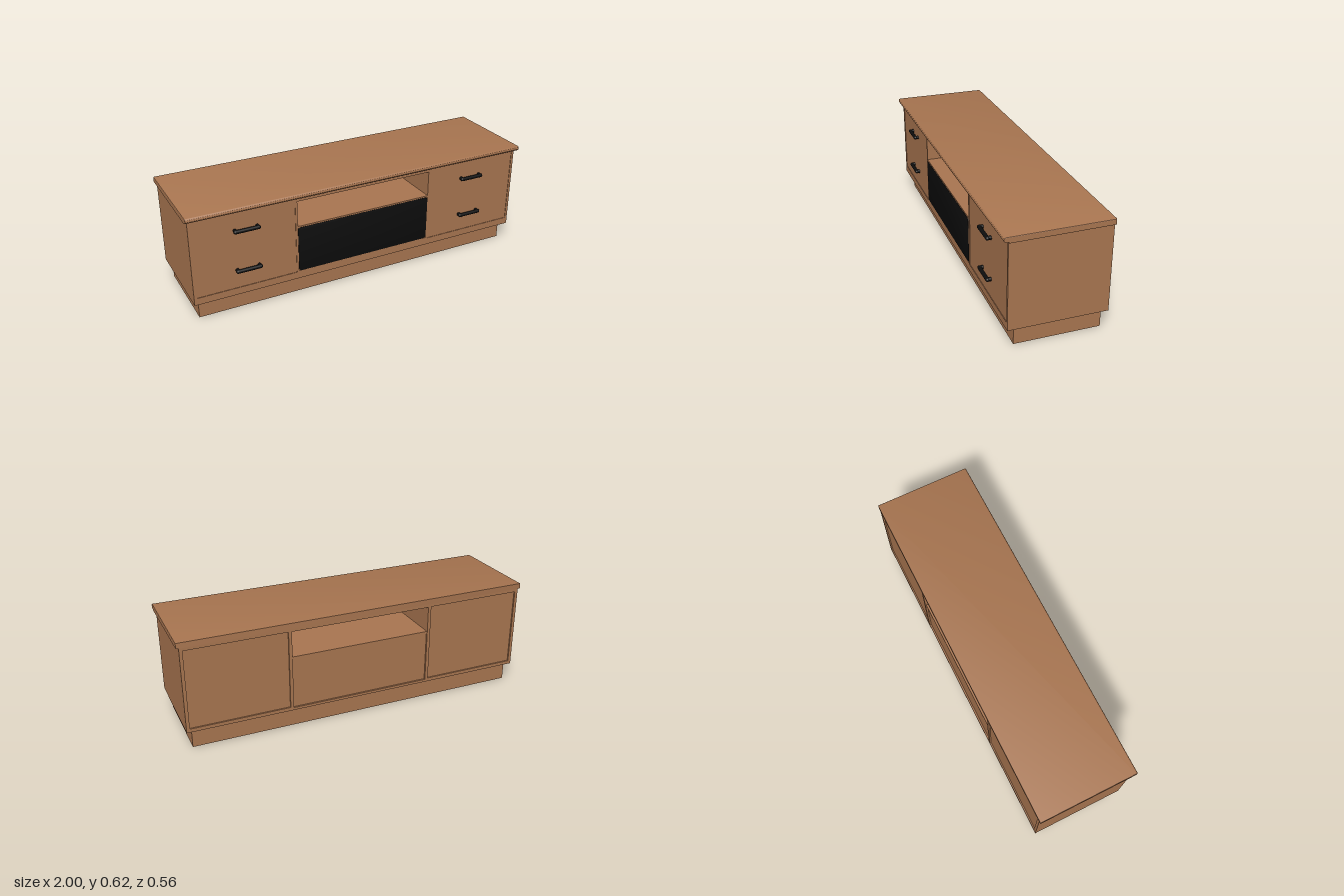
import * as THREE from 'three';
import { toCreasedNormals } from 'three/addons/utils/BufferGeometryUtils.js';

export function createModel() {
  const root = new THREE.Group();
  root.name = 'mediaConsole';
  const wood = new THREE.MeshStandardMaterial({ color: 0xa87550 });
  wood.name = 'warm wood';
  const black = new THREE.MeshStandardMaterial({ color: 0x0d0d0d });
  black.name = 'black';

  const add = (name, geometry, material = wood, parent = root) => {
    const mesh = new THREE.Mesh(geometry, material);
    mesh.name = name;
    parent.add(mesh);
    return mesh;
  };
  // Box given by its limits on each axis
  const box = (name, x0, x1, y0, y1, z0, z1, parent = root) =>
    add(name, new THREE.BoxGeometry(x1 - x0, y1 - y0, z1 - z0), wood, parent)
      .position.set((x0 + x1) / 2, (y0 + y1) / 2, (z0 + z1) / 2);
  const rect = (target, x0, x1, y0, y1) => {
    target.moveTo(x0, y0);
    target.lineTo(x1, y0);
    target.lineTo(x1, y1);
    target.lineTo(x0, y1);
    target.closePath();
    return target;
  };
  // Rectangular frame in the XY plane, from z0 to z1
  const frame = (name, outer, inner, z0, z1, parent = root) => {
    const shape = rect(new THREE.Shape(), ...outer);
    shape.holes.push(rect(new THREE.Path(), ...inner));
    const mesh = add(name, new THREE.ExtrudeGeometry(shape, { depth: z1 - z0, bevelEnabled: false }), wood, parent);
    mesh.position.z = z0;
    return mesh;
  };

  // Worktop: rounded nose and small cove, profile in (z, y) swept along x
  const profile = new THREE.Shape();
  profile.moveTo(-0.277, 0.585);
  profile.lineTo(0.25, 0.582);
  profile.quadraticCurveTo(0.252, 0.588, 0.264, 0.588);
  profile.absarc(0.266, 0.602, 0.0135, -Math.PI / 2, Math.PI / 2, false);
  profile.lineTo(-0.277, 0.6155);
  profile.closePath();
  const topGeometry = new THREE.ExtrudeGeometry(profile, { depth: 1.99, bevelEnabled: true, bevelThickness: 0.005, bevelSize: 0.003, bevelOffset: -0.003, bevelSegments: 2, curveSegments: 12 });
  topGeometry.rotateY(-Math.PI / 2);
  topGeometry.translate(0.995, 0, 0);
  add('worktop', toCreasedNormals(topGeometry, 0.6));

  // Plinth: hollow ring, open underneath
  const plinth = frame('plinth', [-0.955, 0.955, -0.21, 0.25], [-0.935, 0.935, -0.19, 0.23], 0, 0.105);
  plinth.rotation.x = -Math.PI / 2;

  // Cabinet floor and centre bay
  box('cabinetFloor', -0.985, 0.985, 0.105, 0.12, -0.275, 0.252);
  box('frontLowerRail', -0.41, 0.41, 0.12, 0.15, 0.23, 0.252);
  box('frontUpperRail', -0.41, 0.41, 0.565, 0.586, 0.23, 0.252);
  box('backUpperRail', -0.41, 0.41, 0.567, 0.586, -0.275, -0.255);
  box('openShelf', -0.41, 0.41, 0.408, 0.42, -0.27, 0.252);
  box('centreFrontPanel', -0.41, 0.41, 0.15, 0.408, 0.22, 0.242);
  box('centreBackPanel', -0.41, 0.41, 0.12, 0.408, -0.265, -0.245);

  // Black insert with rounded corners
  const w = 0.4, y0 = 0.15, y1 = 0.412, r = 0.02;
  const insert = new THREE.Shape();
  insert.absarc(w - r, y0 + r, r, -Math.PI / 2, 0, false);
  insert.absarc(w - r, y1 - r, r, 0, Math.PI / 2, false);
  insert.absarc(-w + r, y1 - r, r, Math.PI / 2, Math.PI, false);
  insert.absarc(-w + r, y0 + r, r, Math.PI, Math.PI * 1.5, false);
  const insertGeometry = new THREE.ExtrudeGeometry(insert, { depth: 0.012, bevelThickness: 0.003, bevelSize: 0.003, bevelOffset: -0.003, bevelSegments: 2 });
  add('centreInsert', toCreasedNormals(insertGeometry, 0.5), black).position.z = 0.239;

  // Bar handle standing on two posts
  const addHandle = (x, y, parent) => {
    const handle = new THREE.Group();
    handle.name = 'handle';
    handle.position.set(x, y, 0.268);
    parent.add(handle);
    const bar = add('handleBar', new THREE.CapsuleGeometry(0.0105, 0.125, 6, 14), black, handle);
    bar.rotation.z = Math.PI / 2;
    for (const s of [-1, 1]) {
      const post = add('handlePost', new THREE.CylinderGeometry(0.0105, 0.0105, 0.022, 14), black, handle);
      post.rotation.x = Math.PI / 2;
      post.position.set(s * 0.06, 0, -0.011);
    }
  };

  // Side cabinets with shallow framed fronts and backs
  for (const side of [-1, 1]) {
    const cabinet = new THREE.Group();
    cabinet.name = side > 0 ? 'leftCabinet' : 'rightCabinet';
    root.add(cabinet);
    const span = (a, b) => (side > 0 ? [a, b] : [-b, -a]);
    box('cabinetBody', ...span(0.4, 0.985), 0.12, 0.586, -0.267, 0.249, cabinet);
    frame('frontFrame', [...span(0.4, 0.985), 0.12, 0.586], [...span(0.412, 0.97), 0.145, 0.572], 0.249, 0.252, cabinet);
    frame('backFrame', [...span(0.4, 0.985), 0.12, 0.586], [...span(0.418, 0.967), 0.125, 0.568], -0.275, -0.267, cabinet);
    for (const y of [0.25, 0.48]) addHandle(side * 0.684, y, cabinet);
  }
  return root;
}
